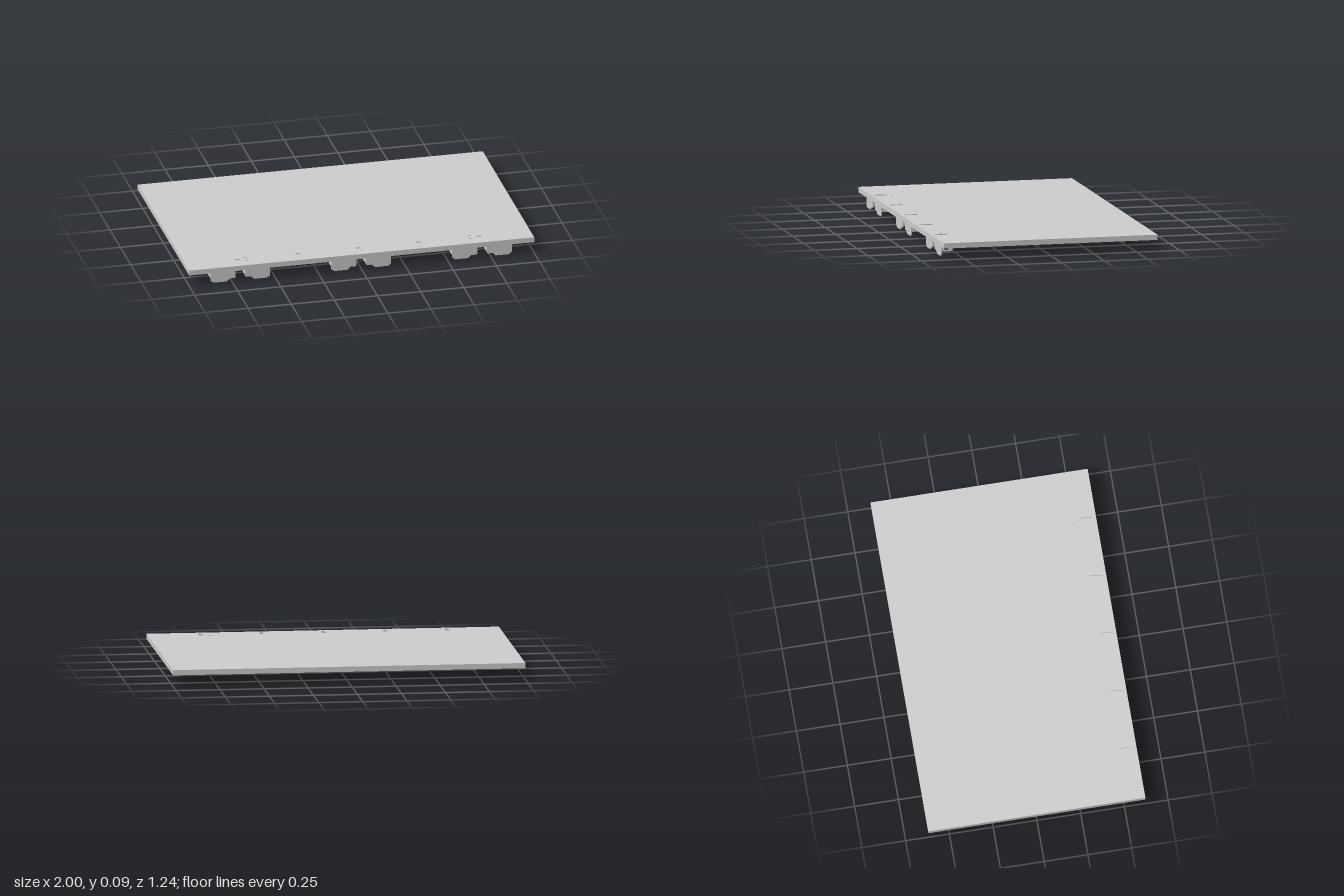
import * as THREE from 'three';

const mat = new THREE.MeshStandardMaterial({ color: 0xcccccc, flatShading: true });
const TOP = 0.095, BOTTOM = 0.065, T = 0.006, W = 1, D = 0.62;

function add(parent, name, geometry) {
  const mesh = new THREE.Mesh(geometry, mat);
  mesh.name = name;
  parent.add(mesh);
  return mesh;
}

// Box given by its lower and upper corner
function box(parent, name, x0, x1, y0, y1, z0, z1) {
  const mesh = add(parent, name, new THREE.BoxGeometry(x1 - x0, y1 - y0, z1 - z0));
  mesh.position.set((x0 + x1) / 2, (y0 + y1) / 2, (z0 + z1) / 2);
  return mesh;
}

const points = (list) => list.map(([x, y]) => new THREE.Vector2(x, y));

// Top sheet, drawn in x and -z, with keyholes and small lance slots
function topSheet() {
  const shape = new THREE.Shape(points([[-W, -D], [W, -D], [W, D], [-W, D]]));
  for (const x of [-0.7, -0.35, 0, 0.35, 0.7]) {
    shape.holes.push(new THREE.Path(points([
      [x - 0.014, -0.525], [x - 0.014, -0.56], [x - 0.008, -0.595], [x - 0.004, -0.602],
      [x + 0.004, -0.602], [x + 0.008, -0.595], [x + 0.014, -0.56], [x + 0.014, -0.525],
    ])));
  }
  for (const x of [-0.65, 0.65]) {
    for (const z of [0.51, 0.55]) {
      shape.holes.push(new THREE.Path(points([
        [x - 0.011, -z + 0.004], [x - 0.011, -z - 0.004],
        [x + 0.011, -z - 0.004], [x + 0.011, -z + 0.004],
      ])));
    }
  }
  const geometry = new THREE.ExtrudeGeometry(shape, { depth: T, bevelEnabled: false });
  return geometry.rotateX(-Math.PI / 2).translate(0, TOP - T, 0);
}

// Hook: stepped front plate, two pierced cheeks and small rear returns.
// Its stepped end points to the side given by dir.
function hook(centre, dir) {
  const group = new THREE.Group();
  group.name = 'mountingHook';
  group.position.x = centre;
  const h = 0.073;
  const outline = [
    [-h, BOTTOM], [-h, 0.014], [-0.056, 0], [0.02, 0], [0.038, 0.017],
    [h - 0.006, 0.017], [h, 0.023], [h, BOTTOM],
  ].map(([x, y]) => [x * dir, y]);
  add(group, 'hookPlate', new THREE.ExtrudeGeometry(new THREE.Shape(points(outline)),
    { depth: T, bevelEnabled: false }).translate(0, 0, 0.6));

  // Cheek drawn in -z and y, then turned to face sideways
  const cheek = new THREE.Shape(points([
    [-0.602, 0.027], [-0.54, 0.027], [-0.54, BOTTOM], [-0.602, BOTTOM],
  ]));
  cheek.holes.push(new THREE.Path(points([
    [-0.588, 0.044], [-0.556, 0.044], [-0.556, 0.041], [-0.569, 0.034], [-0.575, 0.034], [-0.588, 0.041],
  ])));
  const cheekGeometry = new THREE.ExtrudeGeometry(cheek, { depth: T, bevelEnabled: false })
    .rotateY(Math.PI / 2);
  for (const s of [-1, 1]) {
    add(group, 'hookCheek', cheekGeometry).position.x = s * (h - T / 2) - T / 2;
    const a = s * (h - T), b = s * (h - 0.03);
    box(group, 'hookReturn', Math.min(a, b), Math.max(a, b), 0.027, BOTTOM, 0.54, 0.54 + T);
  }
  return group;
}

export function createModel() {
  const model = new THREE.Group();
  model.name = 'shelf';

  add(model, 'topSheet', topSheet());

  // Folded edges with narrow return lips at the back and sides
  box(model, 'frontEdge', -W, W, BOTTOM, TOP - T, D - T, D);
  box(model, 'backEdge', -W, W, BOTTOM, TOP - T, -D, -D + T);
  box(model, 'backLip', -W + T, W - T, BOTTOM, BOTTOM + T, -D + T, -D + 0.022);
  for (const s of [-1, 1]) {
    const a = s * W, b = s * (W - T), c = s * (W - 0.022);
    box(model, 'sideEdge', Math.min(a, b), Math.max(a, b), BOTTOM, TOP - T, -D + T, D - T);
    box(model, 'sideLip', Math.min(b, c), Math.max(b, c), BOTTOM, BOTTOM + T, -D + 0.022, 0.455);
  }

  // Wide front return, closed by an upright lip
  box(model, 'frontReturn', -W + T, W - T, BOTTOM, BOTTOM + T, 0.455, D - T);
  box(model, 'frontReturnLip', -W + T, W - T, BOTTOM + T, TOP - T, 0.455, 0.455 + T);

  // Stiffening rib under the middle
  box(model, 'middleRib', -W + 0.022, W - 0.022, BOTTOM, TOP - T, -0.075, -0.045);

  // Three pairs of hooks, stepped ends facing each other
  for (const x of [-0.7, 0, 0.7]) {
    for (const s of [-1, 1]) model.add(hook(x + s * 0.1, -s));
  }
  return model;
}
